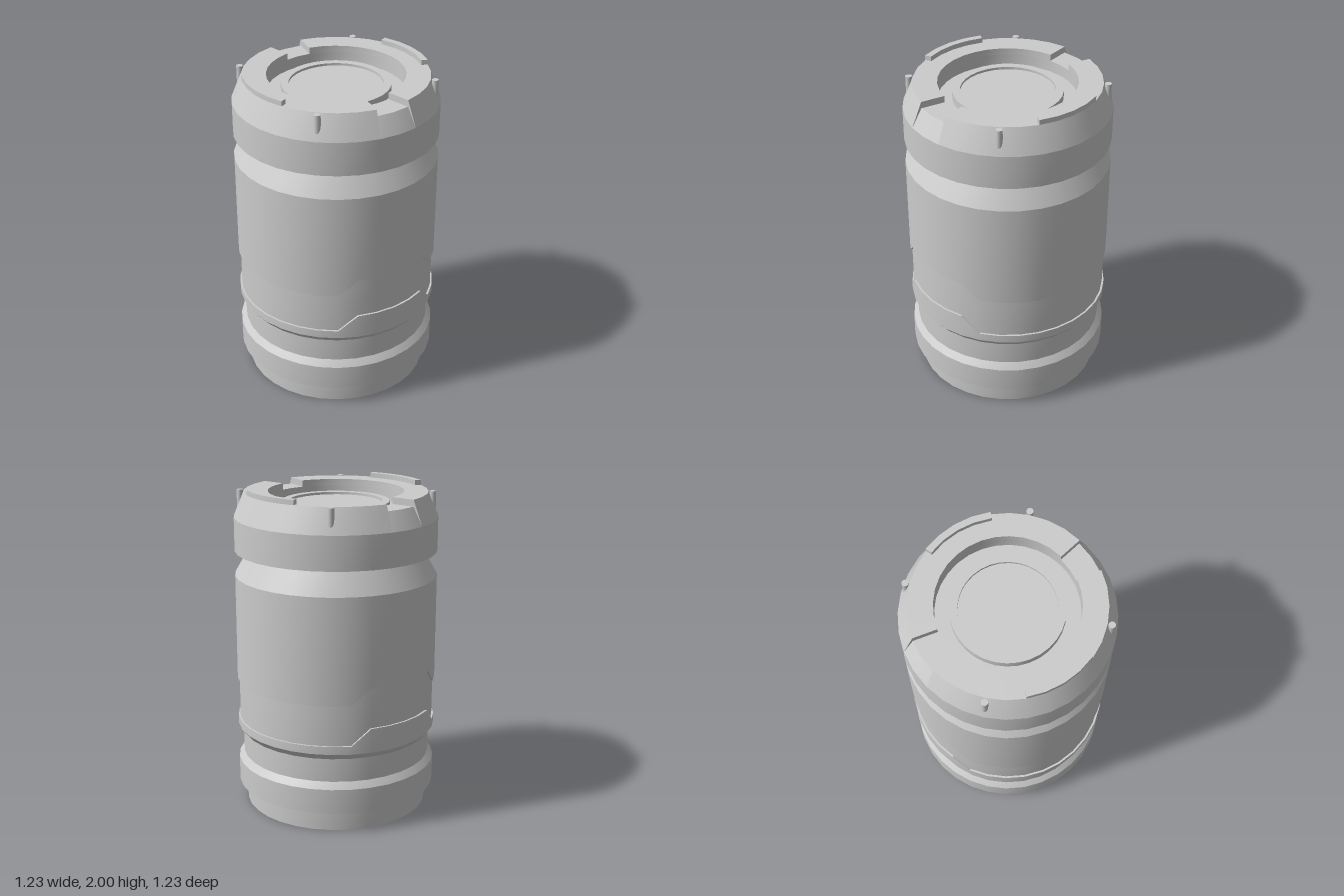
import * as THREE from 'three';
import { toCreasedNormals } from 'three/addons/utils/BufferGeometryUtils.js';

const SIDES = 32;

// Sweeps a [radius, height] profile around y from side index i0 to i1 (0 = front).
// profile may be a function of the side index; closed profiles get end caps
// fanned from their first point.
function sweep(profile, i0 = 0, i1 = SIDES, closed = false) {
  const pos = [];
  const at = typeof profile === 'function' ? profile : () => profile;
  const ring = (i) => at(i).map(([r, y]) => {
    const a = (i / SIDES) * Math.PI * 2;
    return [r * Math.sin(a), y, r * Math.cos(a), r];
  });
  const tri = (...pts) => pts.forEach((p) => pos.push(p[0], p[1], p[2]));
  for (let i = i0; i < i1; i++) {
    const a = ring(i), b = ring(i + 1), n = a.length;
    for (let j = 0; j < (closed ? n : n - 1); j++) {
      const k = (j + 1) % n;
      if (a[j][3] > 0) tri(a[j], b[j], b[k]);
      if (a[k][3] > 0) tri(a[j], b[k], a[k]);
    }
  }
  if (closed) {
    const s = ring(i0), e = ring(i1);
    for (let k = 1; k < s.length - 1; k++) {
      tri(s[0], s[k], s[k + 1]);
      tri(e[0], e[k + 1], e[k]);
    }
  }
  const g = new THREE.BufferGeometry();
  g.setAttribute('position', new THREE.Float32BufferAttribute(pos, 3));
  return toCreasedNormals(g, 0.3);
}

// Raised step of the body seams at the front and back
function seamLift(i) {
  const d = i % (SIDES / 2);
  return Math.min(d, SIDES / 2 - d) <= 2 ? 0.1 : 0;
}

export function createModel() {
  const model = new THREE.Group();
  const material = new THREE.MeshStandardMaterial({ color: 0xcccccc });
  const add = (name, geometry, parent = model) => {
    const mesh = new THREE.Mesh(geometry, material);
    mesh.name = name;
    parent.add(mesh);
    return mesh;
  };

  // Foot and lower bumper with the groove above it
  add('foot', sweep([[0, 0], [0.567, 0], [0.567, 0.13]]));
  add('baseBumper', sweep([
    [0.567, 0.13], [0.617, 0.13], [0.617, 0.285], [0.585, 0.325], [0.585, 0.47],
  ]));

  // Body: stepped lower band, recessed belt, stepped upper shell with shoulder
  add('lowerBand', sweep((i) => [
    [0.585, 0.47], [0.617, 0.51], [0.617, 0.56 + seamLift(i)], [0.605, 0.56 + seamLift(i)],
  ]));
  add('recessedBelt', sweep((i) => [[0.605, 0.56 + seamLift(i)], [0.605, 0.812 + seamLift(i)]]));
  add('upperShell', sweep((i) => [
    [0.605, 0.812 + seamLift(i)], [0.617, 0.812 + seamLift(i)], [0.617, 1.465], [0.53, 1.615],
  ]));

  // Lid: drum with a sunken well and a raised ring around the centre disc
  const lid = new THREE.Group();
  lid.name = 'lid';
  model.add(lid);
  add('lidDrum', sweep([
    [0.53, 1.615], [0.617, 1.615], [0.617, 1.82], [0.555, 1.93], [0.41, 1.93],
    [0.41, 1.86], [0.325, 1.86], [0.325, 1.91], [0.28, 1.91], [0.28, 1.895], [0, 1.895],
  ]), lid);

  // Two rim halves leave notches at the front and back; each carries a raised tab
  const rim = [[0.555, 1.93], [0.617, 1.82], [0.555, 1.97], [0.41, 1.97], [0.41, 1.93]];
  const tab = [[0.515, 1.97], [0.555, 1.97], [0.555, 2], [0.515, 2]];
  for (const [side, start] of [['left', 0], ['right', SIDES / 2]]) {
    add(side + 'Rim', sweep(rim, start + 1, start + 15, true), lid);
    add(side + 'RimTab', sweep(tab, start + 6, start + 10, true), lid);
  }

  // Four pins set into the lid chamfer
  for (const x of [-0.41, 0.41]) {
    for (const z of [-0.41, 0.41]) {
      const pin = add('lidPin', new THREE.CylinderGeometry(0.02, 0.02, 0.14, 16), lid);
      pin.position.set(x, 1.9, z);
    }
  }

  return model;
}
